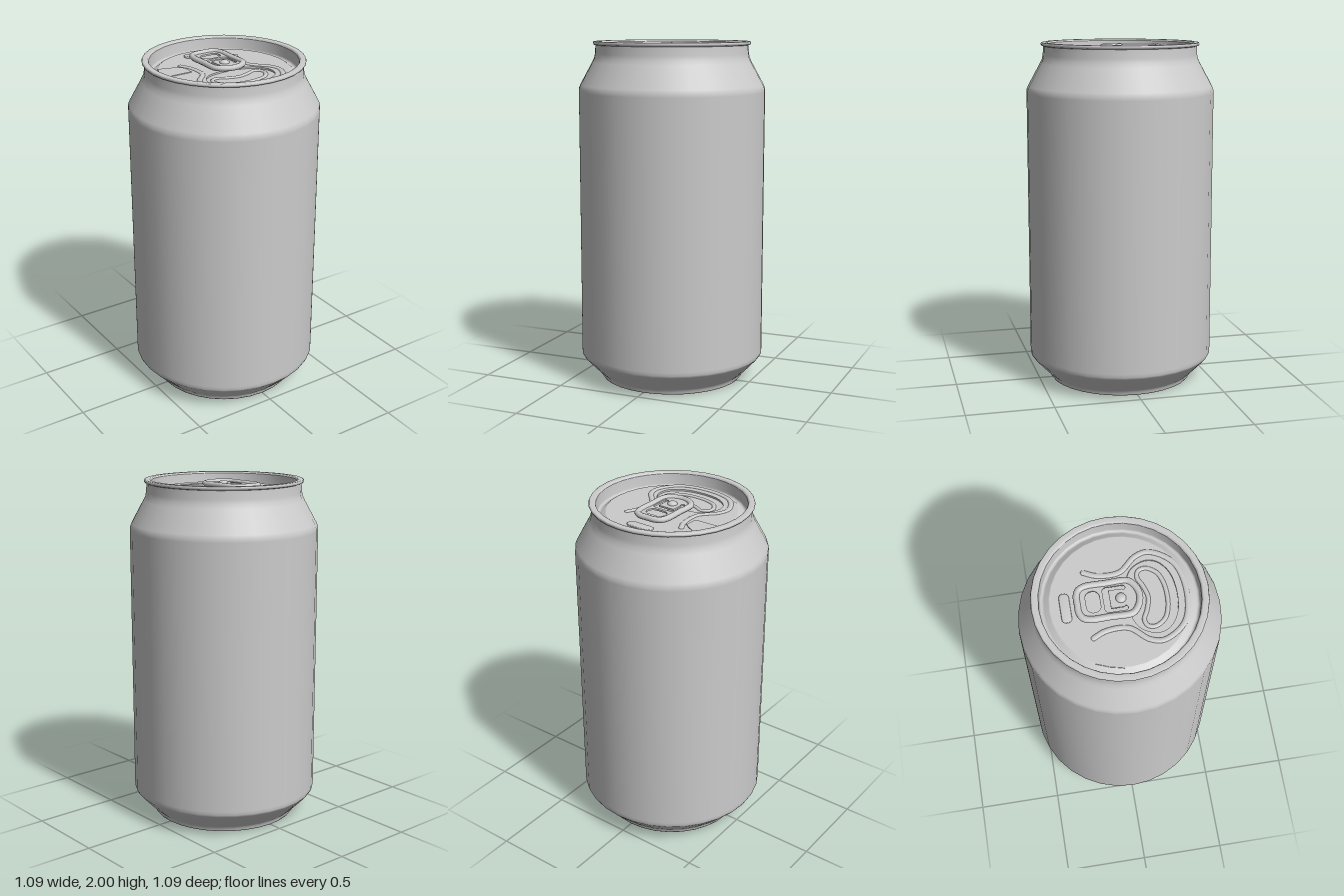
import * as THREE from 'three';
import { toCreasedNormals } from 'three/addons/utils/BufferGeometryUtils.js';

const SIDES = 32;
const LID_Y = 1.94;
const FLOOR_Y = 1.93;

export function createModel() {
  const can = new THREE.Group();
  can.name = 'drinkCan';
  const metal = new THREE.MeshStandardMaterial({ color: 0xcccccc });

  const add = (name, geometry, parent = can) => {
    const mesh = new THREE.Mesh(geometry, metal);
    mesh.name = name;
    parent.add(mesh);
    return mesh;
  };
  const v2 = (pts) => pts.map(([x, y]) => new THREE.Vector2(x, y));
  const lathe = (pts) => new THREE.LatheGeometry(v2(pts), SIDES);

  // Closes a half outline (x >= 0, first and last point on x = 0) by mirroring
  const mirrored = (half) => [...half, ...half.slice(1, -1).reverse().map(([x, z]) => [-x, z])];
  const spline = (pts, closed) =>
    new THREE.CatmullRomCurve3(pts.map(([x, z]) => new THREE.Vector3(x, 0, z)), closed, 'centripetal');
  const smoothOutline = (pts, n = 48) =>
    spline(pts, true).getPoints(n).slice(0, n).map((p) => new THREE.Vector2(p.x, p.z));

  // Flat plate: shape drawn in x/z, top face at height top
  const plate = (shape, top, depth, bevel = 0) => {
    const g = new THREE.ExtrudeGeometry(shape, {
      depth: depth - 2 * bevel, bevelEnabled: bevel > 0, bevelThickness: bevel,
      bevelSize: bevel, bevelOffset: -bevel, bevelSegments: 3, curveSegments: 10,
    });
    g.rotateX(Math.PI / 2).translate(0, top - bevel, 0);
    return toCreasedNormals(g, 0.6);
  };

  // Raised bead along a path, flattened by squash
  const bead = (pts, closed, radius, y, squash, segments = 72) =>
    new THREE.TubeGeometry(spline(pts, closed), segments, radius, 10, closed)
      .scale(1, squash, 1).translate(0, y, 0);

  const roundedRect = (Type, x0, z0, x1, z1, r) => {
    const s = new Type();
    s.moveTo(x0 + r, z0);
    s.lineTo(x1 - r, z0);
    s.absarc(x1 - r, z0 + r, r, -Math.PI / 2, 0);
    s.lineTo(x1, z1 - r);
    s.absarc(x1 - r, z1 - r, r, 0, Math.PI / 2);
    s.lineTo(x0 + r, z1);
    s.absarc(x0 + r, z1 - r, r, Math.PI / 2, Math.PI);
    s.lineTo(x0, z0 + r);
    s.absarc(x0 + r, z0 + r, r, Math.PI, Math.PI * 1.5);
    return s;
  };

  // Underside: flat raised disc and sloping wall
  add('baseDisc', lathe([[0, 0.07], [0.29, 0.07]]));
  add('baseWall', lathe([[0.29, 0.07], [0.31, 0.058], [0.385, 0.012], [0.402, 0]]));

  // Foot, wall, shoulder and neck
  add('body', lathe([
    [0.402, 0], [0.42, 0], [0.427, 0.01], [0.425, 0.022], [0.44, 0.035], [0.485, 0.08],
    [0.538, 0.136], [0.545, 0.15], [0.545, 0.17], [0.545, 1.71], [0.544, 1.73],
    [0.536, 1.75], [0.465, 1.88], [0.453, 1.905], [0.448, 1.93], [0.445, 1.978],
  ]));

  // Rolled rim
  add('rim', lathe([
    [0.445, 1.978], [0.456, 1.982], [0.46, 1.99], [0.457, 1.998],
    [0.452, 2], [0.43, 2], [0.424, 1.998], [0.42, 1.99],
  ]));

  // Lid: countersunk channel, floor, and a panel cut out for the mouth
  add('lidChannel', lathe([
    [0.42, 1.99], [0.417, 1.93], [0.412, 1.92], [0.402, 1.919], [0.395, 1.922], [0.372, 1.938], [0.366, LID_Y],
  ]));
  add('mouthFloor', lathe([[0.34, FLOOR_Y], [0, FLOOR_Y]]));
  const panel = new THREE.Shape(v2(Array.from({ length: SIDES }, (_, i) => {
    const a = (i / SIDES) * Math.PI * 2;
    return [0.366 * Math.cos(a), 0.366 * Math.sin(a)];
  })));
  panel.holes.push(new THREE.Path(smoothOutline(mirrored([
    [0, 0.035], [0.11, 0.05], [0.17, 0.085], [0.205, 0.16], [0.19, 0.225], [0.12, 0.28], [0, 0.3],
  ]))));
  add('lidPanel', plate(panel, LID_Y, LID_Y - FLOOR_Y + 0.002));

  // Bean-shaped bead inside the mouth
  add('mouthBead', bead(mirrored([
    [0, 0.148], [0.07, 0.13], [0.12, 0.108], [0.155, 0.12],
    [0.165, 0.16], [0.13, 0.215], [0.07, 0.24], [0, 0.247],
  ]), true, 0.012, FLOOR_Y, 0.7));

  // Ridge sweeping around the mouth and up beside the tab
  const side = [[0.185, -0.165], [0.157, -0.1], [0.157, 0.02], [0.235, 0.117], [0.25, 0.19], [0.17, 0.31]];
  const ridge = [...side, [0, 0.35], ...side.slice().reverse().map(([x, z]) => [-x, z])];
  add('lidRidge', bead(ridge, false, 0.015, LID_Y, 0.5, 96));
  for (const s of [-1, 1]) {
    add('ridgeEnd', new THREE.SphereGeometry(0.015, 12, 8).scale(1, 0.5, 1)
      .translate(s * side[0][0], LID_Y, side[0][1]));
  }

  // Raised bar behind the tab and thin raised patch at the side
  add('backBump', plate(roundedRect(THREE.Shape, -0.082, -0.312, 0.082, -0.258, 0.024), LID_Y + 0.01, 0.014, 0.006));
  add('sidePatch', plate(new THREE.Shape(v2([
    [-0.325, -0.178], [-0.352, -0.11], [-0.37, -0.035], [-0.19, -0.037],
    [-0.185, -0.115], [-0.21, -0.137], [-0.26, -0.165],
  ])), LID_Y + 0.004, 0.008));

  // Pull tab: curled edge, pierced plate and rivet
  const tab = new THREE.Group();
  tab.name = 'pullTab';
  can.add(tab);
  const tabEdge = mirrored([
    [0, -0.222], [0.045, -0.221], [0.078, -0.205], [0.093, -0.17], [0.094, -0.06],
    [0.094, 0.045], [0.082, 0.067], [0.045, 0.093], [0, 0.103],
  ]);
  add('tabCurledEdge', bead(tabEdge, true, 0.018, 1.972, 0.9, 96), tab);

  const web = new THREE.Shape(smoothOutline(tabEdge));
  web.holes.push(roundedRect(THREE.Path, -0.06, -0.177, 0.06, -0.103, 0.034));
  const slot = new THREE.Path();
  slot.moveTo(-0.07, 0.022);
  slot.lineTo(-0.07, -0.065);
  slot.absarc(-0.05, -0.065, 0.02, Math.PI, Math.PI * 1.5);
  slot.lineTo(0.05, -0.085);
  slot.absarc(0.05, -0.065, 0.02, -Math.PI / 2, 0);
  slot.lineTo(0.07, 0.022);
  slot.absarc(0.057, 0.022, 0.013, 0, Math.PI);
  slot.lineTo(0.05, 0.015);
  slot.lineTo(0.05, -0.053);
  slot.lineTo(-0.05, -0.053);
  slot.lineTo(-0.05, 0.015);
  slot.lineTo(-0.044, 0.022);
  slot.absarc(-0.057, 0.022, 0.013, 0, Math.PI);
  web.holes.push(slot);
  add('tabPlate', plate(web, 1.974, 0.01), tab);

  add('rivetPost', new THREE.CylinderGeometry(0.022, 0.03, 0.04, 16).translate(0, 1.955, 0.005), tab);
  add('rivetHead', new THREE.SphereGeometry(0.028, 20, 12).scale(1, 0.6, 1).translate(0, 1.974, 0.005), tab);

  return can;
}
